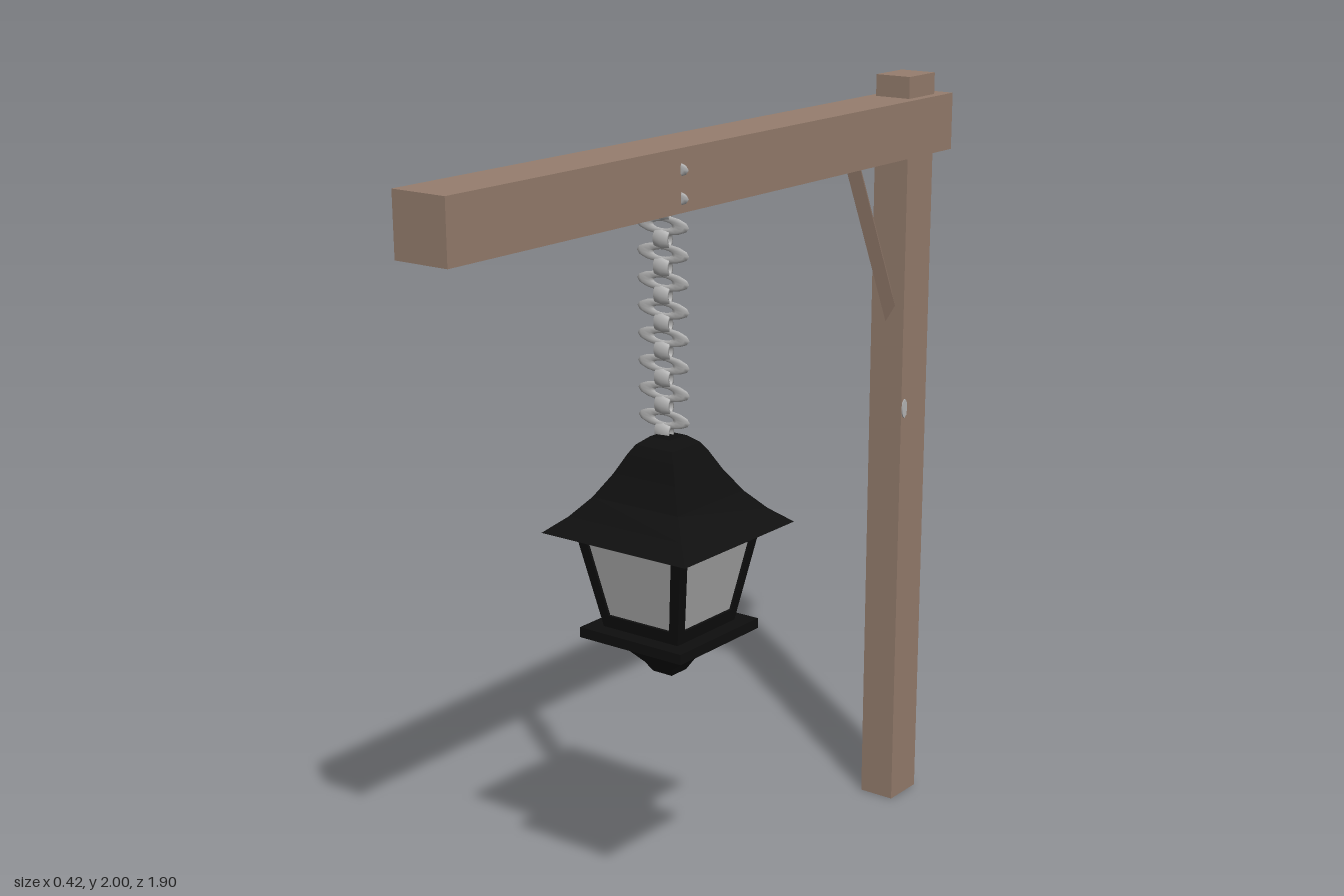
import * as THREE from 'three';

const material = (name, color, extra = {}) => {
  const m = new THREE.MeshStandardMaterial({ color, ...extra });
  m.name = name;
  return m;
};

export function createModel() {
  const wood = material('wood', 0x967e6e);
  const iron = material('blackIron', 0x0e0e0e);
  const glass = material('paleGlass', 0xacacac);
  const steel = material('chainSteel', 0xb8b8b8);

  const model = new THREE.Group();
  model.name = 'hangingLanternPost';

  const add = (parent, name, geometry, mat, x = 0, y = 0, z = 0) => {
    const mesh = new THREE.Mesh(geometry, mat);
    mesh.name = name;
    mesh.position.set(x, y, z);
    parent.add(mesh);
    return mesh;
  };

  // Timber gallows: post, beam and diagonal brace
  add(model, 'post', new THREE.BoxGeometry(0.1, 2, 0.12), wood, -0.035, 1, -0.84);
  add(model, 'beam', new THREE.BoxGeometry(0.145, 0.145, 1.9), wood, -0.0325, 1.8725, 0);
  const brace = add(model, 'brace', new THREE.BoxGeometry(0.034, 0.54, 0.03).rotateY(0.6), wood, -0.035, 1.6, -0.693);
  brace.rotation.x = Math.atan2(0.2, 0.43);

  // Small pegs in the post
  const peg = new THREE.CylinderGeometry(0.012, 0.012, 0.012, 8);
  const sidePeg = add(model, 'sidePeg', peg, steel, 0.012, 1.13, -0.793);
  sidePeg.rotation.z = Math.PI / 2;
  sidePeg.scale.x = 2.2;
  const backPeg = add(model, 'backPeg', peg, iron, -0.035, 0.64, -0.898);
  backPeg.rotation.x = Math.PI / 2;

  // Chain: alternating links, stretched sideways
  const chain = new THREE.Group();
  chain.name = 'chain';
  chain.position.set(-0.015, 0, 0.195);
  chain.scale.x = 6;
  model.add(chain);
  const link = new THREE.TorusGeometry(0.0085, 0.004, 6, 14);
  for (let i = 0; i < 20; i++) {
    const l = add(chain, 'chainLink', link, steel, 0, 1.897 - i * 0.0322, 0);
    l.scale.y = 1.8;
    l.rotation.y = (i % 2) * Math.PI / 2;
  }

  // Square lantern
  const lantern = new THREE.Group();
  lantern.name = 'lantern';
  lantern.position.z = 0.2;
  model.add(lantern);

  // Four-sided solid from a profile of [half width, height], bottom to top
  const squareLathe = (profile) => {
    const points = profile.map(([r, y]) => new THREE.Vector2(r * Math.SQRT2, y));
    const g = new THREE.LatheGeometry(points, 4, Math.PI / 4).toNonIndexed();
    g.computeVertexNormals();
    return g;
  };
  add(lantern, 'roof', squareLathe([
    [0, 1.058], [0.21, 1.058], [0.165, 1.095], [0.125, 1.14], [0.09, 1.195],
    [0.067, 1.24], [0.053, 1.262], [0.03, 1.28], [0, 1.282],
  ]), iron);
  add(lantern, 'basePlate', new THREE.BoxGeometry(0.3, 0.025, 0.3), iron, 0, 0.8075, 0);
  add(lantern, 'bottomFinial', squareLathe([
    [0, 0.698], [0.028, 0.7], [0.042, 0.724], [0.075, 0.762], [0.1, 0.798],
  ]), iron);

  // Four leaning frames with glass
  const trapezoid = (Type, b, y0, t, y1) => {
    const s = new Type();
    s.moveTo(-b, y0);
    s.lineTo(b, y0);
    s.lineTo(t, y1);
    s.lineTo(-t, y1);
    s.closePath();
    return s;
  };
  const frameShape = trapezoid(THREE.Shape, 0.11, 0, 0.155, 0.244);
  frameShape.holes.push(trapezoid(THREE.Path, 0.09, 0.032, 0.124, 0.224));
  const frame = new THREE.ExtrudeGeometry(frameShape, { depth: 0.01, bevelEnabled: false });
  frame.translate(0, 0, -0.01);
  const pane = new THREE.ShapeGeometry(trapezoid(THREE.Shape, 0.095, 0.02, 0.133, 0.235));
  for (let i = 0; i < 4; i++) {
    const side = new THREE.Group();
    side.name = 'lanternSide';
    side.rotation.y = i * Math.PI / 2;
    lantern.add(side);
    const lean = Math.atan2(0.045, 0.24);
    add(side, 'windowFrame', frame, iron, 0, 0.82, 0.11).rotation.x = lean;
    add(side, 'windowPane', pane, glass, 0, 0.82, 0.104).rotation.x = lean;
  }
  return model;
}
